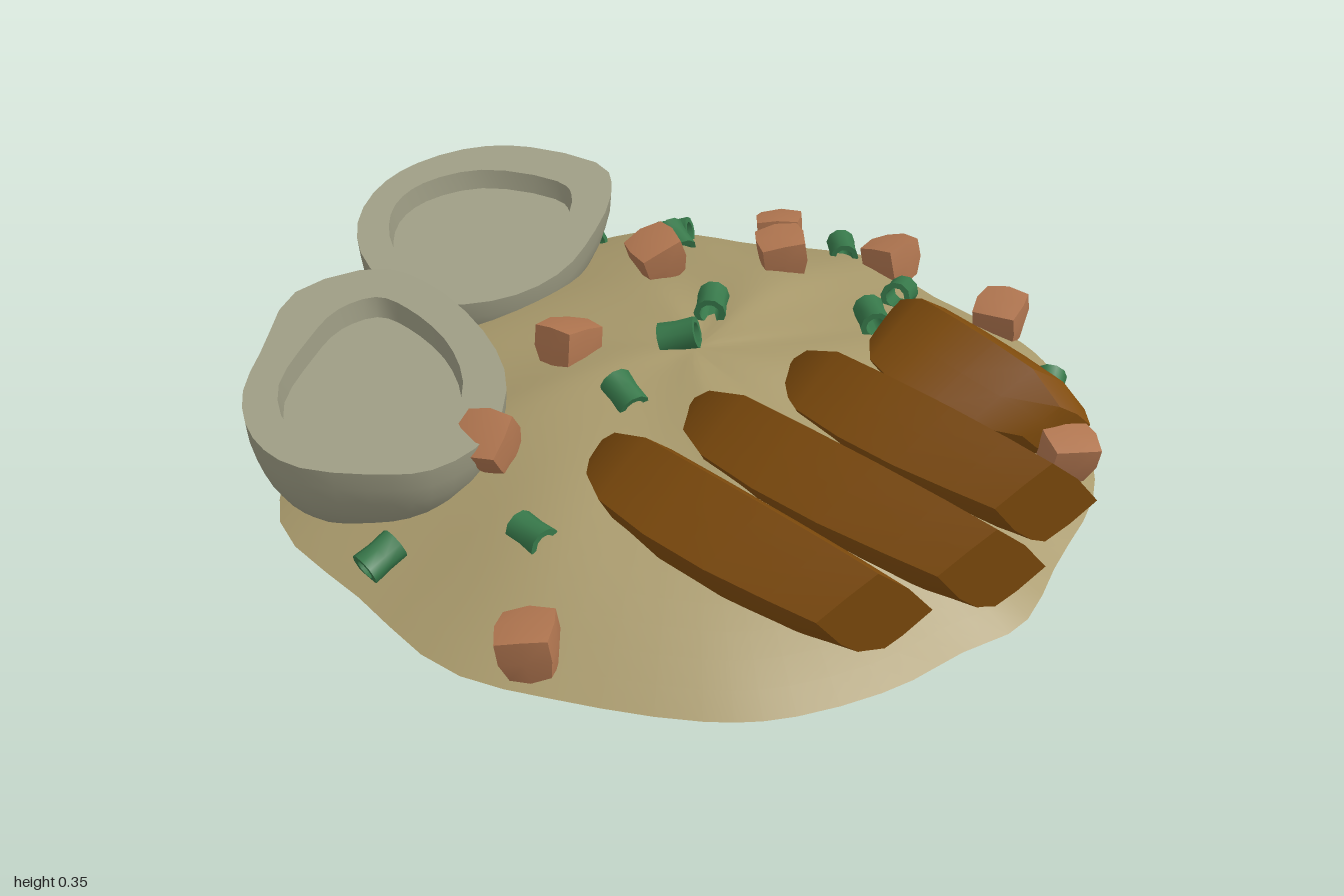
import * as THREE from 'three';
import { toCreasedNormals } from 'three/addons/utils/BufferGeometryUtils.js';

const V = (x, y, z) => new THREE.Vector3(x, y, z);
const mat = (name, color, side = THREE.FrontSide) => {
  const m = new THREE.MeshStandardMaterial({ color, side });
  m.name = name;
  return m;
};

// Closed smooth outline through [x, z] points, resampled to n points
function outline(points, n) {
  const curve = new THREE.CatmullRomCurve3(points.map(([x, z]) => V(x, 0, z)), true, 'centripetal');
  return Array.from({ length: n }, (_, i) => curve.getPoint(i / n));
}

// Skin over closed rings that all have the same number of points
function loft(rings, crease) {
  const n = rings[0].length, pos = [], index = [];
  rings.forEach(r => r.forEach(p => pos.push(p.x, p.y, p.z)));
  for (let i = 0; i < rings.length - 1; i++) {
    for (let j = 0; j < n; j++) {
      const a = i * n + j, b = i * n + (j + 1) % n;
      index.push(a, b, a + n, b, b + n, a + n);
    }
  }
  const g = new THREE.BufferGeometry();
  g.setAttribute('position', new THREE.Float32BufferAttribute(pos, 3));
  g.setIndex(index);
  return toCreasedNormals(g, crease);
}

// Height of the mound at fraction t of the way to its edge
const moundY = t => 0.035 + 0.25 * (1 - Math.pow(t, 1.8));
// Approximate height of the mound at a ground position
const surfaceY = (x, z) => moundY(Math.min(1, Math.hypot((x - 0.06) / 0.93, z / 0.91)));

function mound() {
  const edge = outline([
    [-0.2, -0.92], [0, -0.89], [0.3, -0.89], [0.42, -0.86], [0.55, -0.79], [0.72, -0.65], [0.84, -0.5],
    [0.92, -0.27], [0.995, -0.05], [0.965, 0.1], [0.94, 0.28], [0.85, 0.5], [0.75, 0.62], [0.53, 0.78],
    [0.3, 0.9], [0, 0.905], [-0.3, 0.9], [-0.48, 0.78], [-0.66, 0.64], [-0.77, 0.46], [-0.83, 0.2],
    [-0.83, -0.15], [-0.79, -0.4], [-0.74, -0.54], [-0.62, -0.65], [-0.48, -0.73], [-0.34, -0.84]
  ], 72);
  const rings = [];
  for (let i = 0; i <= 16; i++) {
    const t = i / 16;
    rings.push(edge.map((p, j) => {
      const a = (j / 72) * Math.PI * 2;
      const ripple = 0.009 * Math.sin(5 * a + 6 * t) * Math.sin(Math.PI * t);
      return V(0.06 * (1 - t) + p.x * t, moundY(t) + ripple, p.z * t);
    }));
  }
  return loft(rings, 1.2);
}

// Halved egg: hollow, flat rim on a sloping plane, deep rounded body
function eggHalf(rimPoints, hollowPoints, rimY, bottom) {
  const n = 32, rim = outline(rimPoints, n), hollow = outline(hollowPoints, n);
  const hc = hollow.reduce((s, p) => s.add(p), V(0, 0, 0)).divideScalar(n);
  const rings = [0, 0.5, 0.97].map(s => hollow.map(p => {
    const q = hc.clone().lerp(p, s);
    q.y = rimY(q.x) - 0.05;
    return q;
  }));
  rings.push(hollow.map(p => V(p.x, rimY(p.x), p.z)));
  for (let i = 0; i <= 9; i++) {
    const a = (i / 9) * Math.PI / 2;
    const s = Math.pow(Math.cos(a), 0.8), d = Math.sin(a);
    rings.push(rim.map(p => {
      const x = bottom.x + (p.x - bottom.x) * s, z = bottom.z + (p.z - bottom.z) * s;
      return V(x, THREE.MathUtils.lerp(rimY(p.x), bottom.y, d), z);
    }));
  }
  return loft(rings, 0.7);
}

// Thick strip with a diamond section, narrow at the left end and cut obliquely at the right
function strip(x0, z0, x1, z1, halfWidth, endScale) {
  const stations = [[0, 0], [0, 0.28], [0.06, 0.6], [0.2, 0.92], [0.42, 1], [0.65, 1], [0.85, 0.93], [1, endScale], [1, 0]];
  const corners = [[0, 1], [0.5, 0.58], [1, 0.12], [0.55, -0.52], [0, -1], [-0.52, -0.6], [-1, -0.12], [-0.55, 0.5]];
  const rings = stations.map(([t, s]) => corners.map(([u, v]) => {
    const cy = 0.235 - 0.075 * t * t - 0.05 * Math.sin(Math.PI * t) * (v < 0 ? 1 : 0) + 0.01 * (1 - t);
    return V(
      x0 + (x1 - x0) * t - u * s * 0.065 * t,
      cy + v * s * 0.13,
      z0 + (z1 - z0) * t + 0.035 * Math.sin(Math.PI * t) + u * s * halfWidth
    );
  }));
  return loft(rings, 0.55);
}

// Diced cube with slightly irregular, bulging sides
function dice(size) {
  const g = new THREE.BoxGeometry(size, size, size, 2, 2, 2);
  const p = g.attributes.position, h = size / 2;
  for (let i = 0; i < p.count; i++) {
    const v = V().fromBufferAttribute(p, i);
    const taper = 1 + 0.12 * v.y / h;
    const edges = [v.x, v.y, v.z].filter(c => Math.abs(c) > h * 0.9).length;
    v.multiplyScalar([1, 1.12, 1.04, 0.92][edges]);
    p.setXYZ(i, v.x * taper, v.y, v.z * taper);
  }
  return toCreasedNormals(g, 0.5);
}

// Short hollow ring lying along x
function tubeSlice() {
  const r = 0.038, h = 0.043, inner = 0.024;
  const profile = [[inner, -h], [r, -h], [r * 0.93, 0], [r, h], [inner, h], [inner, -h]];
  const g = new THREE.LatheGeometry(profile.map(([x, y]) => new THREE.Vector2(x, y)), 10);
  return toCreasedNormals(g.rotateZ(Math.PI / 2), 0.7);
}

export function createModel() {
  const model = new THREE.Group();
  const grain = mat('grain tan', 0xa8996b, THREE.DoubleSide);
  const egg = mat('egg grey', 0x9b9a82, THREE.DoubleSide);
  const meat = mat('fried brown', 0x804c0d, THREE.DoubleSide);
  const diced = mat('diced pink brown', 0xb17650);
  const green = mat('onion green', 0x37784a, THREE.DoubleSide);
  const add = (name, geometry, material) => {
    const mesh = new THREE.Mesh(geometry, material);
    mesh.name = name;
    model.add(mesh);
    return mesh;
  };

  add('grainMound', mound(), grain);

  // Egg halves
  add('rearEggHalf', eggHalf(
    [[-1, 0], [-0.975, -0.17], [-0.9, -0.29], [-0.72, -0.4], [-0.62, -0.34], [-0.51, -0.18], [-0.44, -0.02],
      [-0.435, 0.14], [-0.5, 0.29], [-0.6, 0.35], [-0.75, 0.345], [-0.88, 0.27], [-0.97, 0.14]],
    [[-0.92, 0.04], [-0.88, -0.13], [-0.72, -0.26], [-0.66, -0.24], [-0.55, -0.09], [-0.515, 0.05],
      [-0.55, 0.19], [-0.65, 0.27], [-0.77, 0.25], [-0.88, 0.16]],
    x => 0.345 - 0.16 * (x + 1), V(-0.76, 0.01, 0)), egg);
  add('frontEggHalf', eggHalf(
    [[-0.68, 0.58], [-0.64, 0.37], [-0.52, 0.315], [-0.3, 0.325], [-0.12, 0.4], [0, 0.55], [0.01, 0.7],
      [-0.05, 0.8], [-0.18, 0.92], [-0.3, 0.935], [-0.43, 0.88], [-0.55, 0.75]],
    [[-0.565, 0.54], [-0.55, 0.44], [-0.46, 0.41], [-0.3, 0.42], [-0.15, 0.5], [-0.075, 0.65],
      [-0.1, 0.78], [-0.25, 0.86], [-0.4, 0.81], [-0.51, 0.66]],
    x => 0.34 - 0.1 * (x + 0.68), V(-0.32, 0.01, 0.66)), egg);

  // Fried strips, fanned from front to rear
  [
    [0.18, 0.38, 0.86, 0.26, 0.13, 0.85],
    [0.2, 0.13, 0.93, -0.015, 0.125, 0.85],
    [0.24, -0.14, 0.87, -0.27, 0.125, 0.85],
    [0.25, -0.46, 0.72, -0.5, 0.165, 0.5]
  ].forEach((s, i) => add(`friedStrip${i + 1}`, strip(...s), meat));

  // Diced cubes: x, z
  const diceGeometry = dice(0.105);
  [
    [-0.1, -0.87], [0.27, -0.87], [-0.37, -0.72], [-0.17, -0.52], [-0.33, -0.24],
    [-0.16, 0.19], [-0.02, 0.53], [0.42, 0.78], [0.75, -0.5], [-0.8, 0.31]
  ].forEach(([x, z], i) => {
    const mesh = add(`dicedCube${i + 1}`, diceGeometry, diced);
    mesh.position.set(x, surfaceY(x, z) + (i === 5 ? 0.015 : 0.045), z);
    mesh.rotation.set(0.3 * Math.sin(i * 2.3), i * 1.9, 0.3 * Math.cos(i * 1.7));
  });

  // Onion rings: x, z, heading in degrees, lift
  const ringGeometry = tubeSlice();
  [
    [-0.25, -0.84, -40, 0.03], [0.09, -0.68, -65, 0.02], [0.55, -0.7, -60, 0.03], [0.2, -0.45, -35, 0.03],
    [-0.57, -0.52, 35, 0.03], [-0.48, -0.44, -15, 0.03], [-0.04, -0.15, -50, 0.02], [0.02, 0.01, 40, 0.02],
    [0.07, 0.22, -10, 0], [0.21, 0.6, 0, 0], [-0.02, 0.83, 90, 0.02], [-0.71, 0.46, 90, 0.02],
    [-0.52, 0.32, -30, 0], [-0.75, -0.36, 20, 0.01]
  ].forEach(([x, z, heading, lift], i) => {
    const mesh = add(`onionRing${i + 1}`, ringGeometry, green);
    mesh.position.set(x, surfaceY(x, z) + lift, z);
    mesh.rotation.set(0, THREE.MathUtils.degToRad(heading), 0.35 * Math.sin(i * 2.1));
  });

  return model;
}
